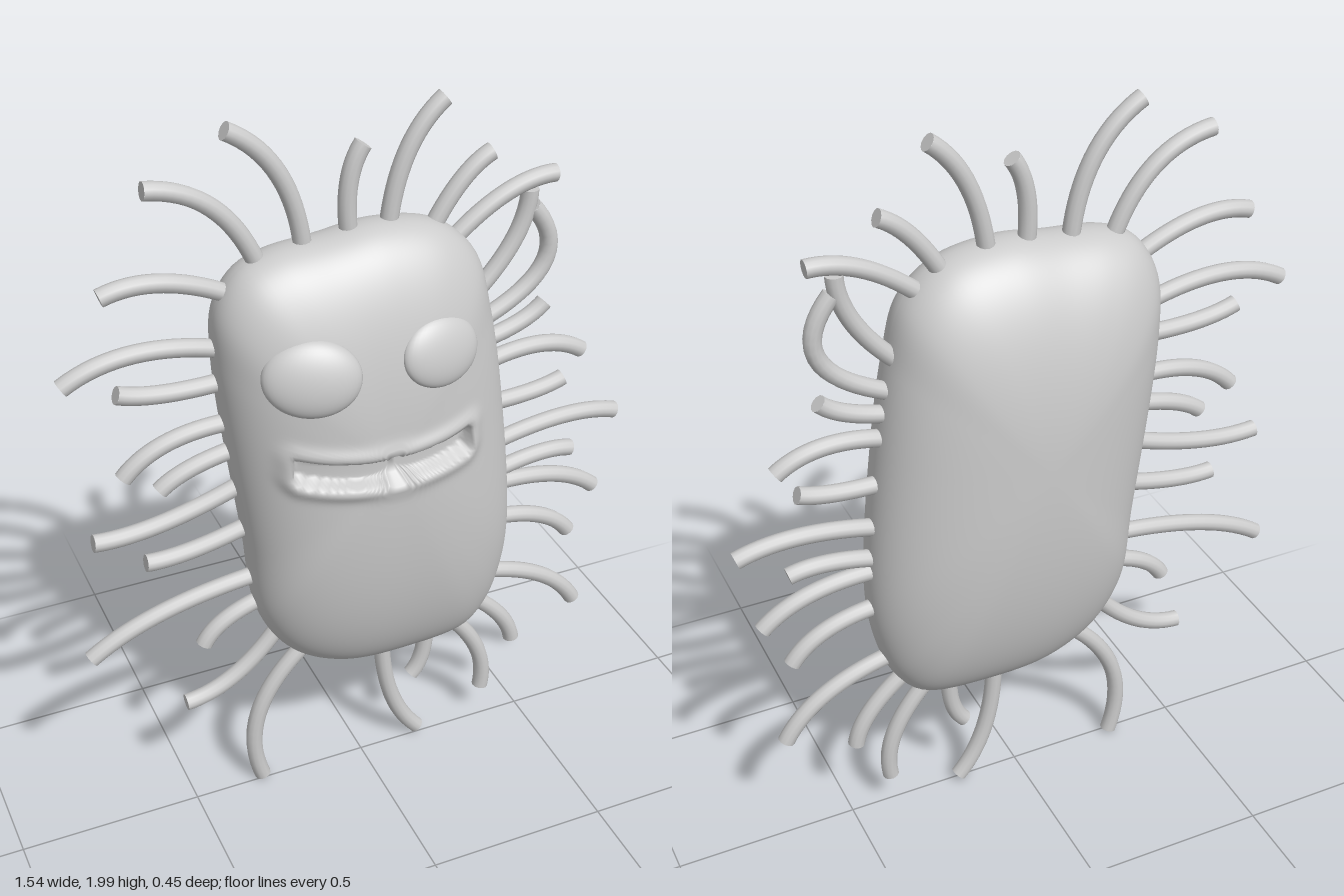
import * as THREE from 'three';
import { mergeGeometries, mergeVertices } from 'three/addons/utils/BufferGeometryUtils.js';

const material = new THREE.MeshStandardMaterial({ color: 0xcccccc, roughness: 0.8 });
const CX = 0, CY = 1.13, HAIR_RADIUS = 0.023; // body centre lies inside the mouth

// Silhouette of the body, clockwise from the top left
const outline = new THREE.CatmullRomCurve3([
  [-0.24, 1.66], [-0.1, 1.675], [0.04, 1.69], [0.2, 1.66], [0.295, 1.575], [0.34, 1.42], [0.38, 1.18],
  [0.42, 0.73], [0.4, 0.57], [0.36, 0.465], [0.295, 0.397], [0.12, 0.373], [-0.07, 0.388],
  [-0.21, 0.465], [-0.295, 0.6], [-0.325, 0.84], [-0.385, 1.39], [-0.375, 1.54], [-0.32, 1.625],
].map(([x, y]) => new THREE.Vector3(x, y, 0)), true);

// Raised lips around a shallow, smiling mouth slot
function mouthRelief(x, y) {
  const mid = 1.112 + 0.5 * x * x;
  const dx = Math.abs(x + 0.015) - 0.222, dy = Math.abs(y - mid) - 0.024;
  const d = Math.hypot(Math.max(dx, 0), Math.max(dy, 0)) + Math.min(Math.max(dx, dy), 0) - 0.012;
  const lip = 0.012 * Math.exp(-(((d - 0.018) / 0.02) ** 2));
  const slot = 0.032 * (1 - THREE.MathUtils.smoothstep(d, -0.009, 0.003));
  return lip - slot;
}

// Body: the silhouette shrunk in rings towards the middle, domed front and back
function bodyGeometry() {
  const around = 180, rings = 56;
  const rim = outline.getSpacedPoints(around).slice(0, around);
  const positions = [], index = [];
  for (const side of [1, -1]) {
    const start = positions.length / 3;
    for (let r = 0; r <= rings; r++) {
      const s = Math.sin((r / rings) * Math.PI / 2);
      for (let i = 0; i < around; i++) {
        const x = CX + s * (rim[i].x - CX), y = CY + s * (rim[i].y - CY);
        let z = side * (side > 0 ? 0.212 : 0.226) * Math.pow(Math.max(0, 1 - Math.pow(s, 2.2)), 1 / 2.1);
        if (side > 0) z += mouthRelief(x, y);
        positions.push(x, y, z);
        if (r === rings) continue;
        const a = start + r * around + i, b = start + r * around + (i + 1) % around;
        const c = a + around, d = b + around;
        if (side > 0) index.push(a, d, c, a, b, d);
        else index.push(a, c, d, a, d, b);
      }
    }
  }
  let geometry = new THREE.BufferGeometry();
  geometry.setAttribute('position', new THREE.Float32BufferAttribute(positions, 3));
  geometry.setIndex(index);
  geometry = mergeVertices(geometry, 1e-5);
  geometry.computeVertexNormals();
  return geometry;
}

// Hairs, clockwise from the top: root angle about the body centre in degrees, tip x, tip y,
// then, where needed, lean from the silhouette's normal in degrees and reach of the bend
const hairs = [
  [93, 0.01, 1.89], [82, 0.22, 1.97], [69, 0.35, 1.81], [61, 0.53, 1.72],
  [43, 0.46, 1.69, 30], [32, 0.47, 1.64, 10, 0.95], [23, 0.52, 1.36], [14, 0.64, 1.19, 10],
  [-6, 0.59, 1.115, -8], [-22, 0.76, 0.97, 10], [-32, 0.63, 0.88, 12], [-36, 0.71, 0.735],
  [-45, 0.64, 0.6], [-57, 0.675, 0.345, 8], [-63, 0.48, 0.26], [-69, 0.385, 0.11, 25],
  [-75, 0.16, 0.23], [-85, 0.18, 0.025], [-104, -0.3, 0.015, -18], [-112, -0.51, 0.355, 20],
  [-122, -0.45, 0.54], [-128, -0.755, 0.59], [-143, -0.59, 0.85, 10], [-162, -0.72, 0.95, 14],
  [180, -0.54, 1.06], [167, -0.63, 1.12, -10], [152, -0.63, 1.36], [142, -0.76, 1.41, -20],
  [128, -0.65, 1.625], [117, -0.53, 1.87], [105, -0.33, 1.98],
];

// Fraction along the silhouette where it is seen at an angle from the body centre
function outlineAt(degrees) {
  const angle = THREE.MathUtils.degToRad(degrees);
  const ray = new THREE.Vector3(Math.cos(angle), Math.sin(angle), 0);
  const centre = new THREE.Vector3(CX, CY, 0);
  let best = 0, bestDot = -1;
  for (let u = 0; u < 1; u += 0.002) {
    const dot = outline.getPointAt(u).sub(centre).normalize().dot(ray);
    if (dot > bestDot) [best, bestDot] = [u, dot];
  }
  return best;
}

// A hair leaves the body along the silhouette's normal and bends over to its tip
function hairGeometry([degrees, tipX, tipY, lean = 0, reach = 0.6]) {
  const u = outlineAt(degrees);
  const tangent = outline.getTangentAt(u);
  const outward = new THREE.Vector3(-tangent.y, tangent.x, 0)
    .applyAxisAngle(new THREE.Vector3(0, 0, 1), THREE.MathUtils.degToRad(lean));
  const root = outline.getPointAt(u).setZ(-0.01);
  const tip = new THREE.Vector3(tipX, tipY, -0.01);
  const bend = root.clone().addScaledVector(outward, reach * root.distanceTo(tip));
  root.addScaledVector(outward, -0.05); // sunk into the body
  const curve = new THREE.QuadraticBezierCurve3(root, bend, tip);
  const tube = new THREE.TubeGeometry(curve, 18, HAIR_RADIUS, 12);
  const cap = new THREE.CircleGeometry(HAIR_RADIUS, 12);
  cap.applyQuaternion(new THREE.Quaternion().setFromUnitVectors(new THREE.Vector3(0, 0, 1), curve.getTangent(1)));
  cap.translate(tip.x, tip.y, tip.z);
  return mergeGeometries([tube, cap]);
}

export function createModel() {
  const model = new THREE.Group();
  const add = (name, geometry, parent = model) => {
    const mesh = new THREE.Mesh(geometry, material);
    mesh.name = name;
    parent.add(mesh);
    return mesh;
  };

  add('body', bodyGeometry());

  // Eyes: flattened domes half sunk in the face, leaning with its surface
  const addEye = (name, x, z, rx, ry, depth, yaw, roll) => {
    const eye = add(name, new THREE.SphereGeometry(1, 36, 24));
    eye.scale.set(rx, ry, depth);
    eye.position.set(x, 1.4, z);
    eye.rotation.set(-0.25, yaw, roll);
  };
  addEye('rightEye', -0.2, 0.168, 0.122, 0.098, 0.046, -0.25, -0.15);
  addEye('leftEye', 0.135, 0.172, 0.108, 0.09, 0.036, 0.18, 0);

  const fringe = new THREE.Group();
  fringe.name = 'hairs';
  model.add(fringe);
  hairs.forEach((hair, i) => add(`hair${i + 1}`, hairGeometry(hair), fringe));

  return model;
}
